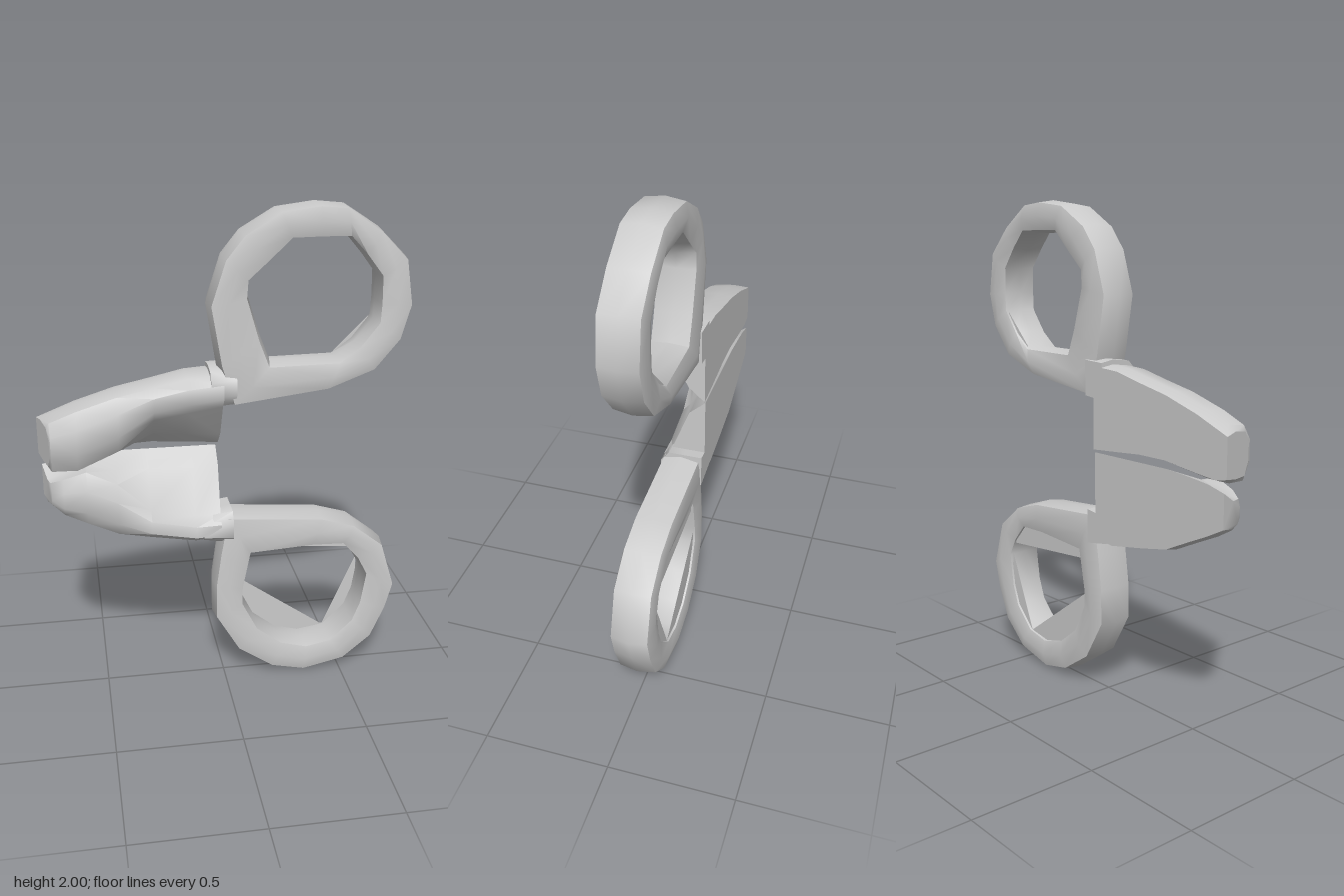
import * as THREE from 'three';
import { toCreasedNormals } from 'three/addons/utils/BufferGeometryUtils.js';

const D = 0.087; // half depth of the whole tool
const material = new THREE.MeshStandardMaterial({ color: 0xcccccc, side: THREE.DoubleSide });

// Skins a list of equal-length cross-sections; optionally joins last to first.
function loft(name, sections, closed, crease) {
  const n = sections[0].length, m = sections.length, index = [];
  for (let i = 0; i < (closed ? m : m - 1); i++) {
    for (let j = 0; j < n; j++) {
      const a = i * n + j, b = i * n + (j + 1) % n;
      const c = ((i + 1) % m) * n + j, d = ((i + 1) % m) * n + (j + 1) % n;
      index.push(a, b, c, b, d, c);
    }
  }
  if (!closed) {
    const e = (m - 1) * n;
    // cap triangles follow the cross-section outline
    const flat = s => s.map(p => new THREE.Vector2(p[2], p[1]));
    for (const [a, b, c] of THREE.ShapeUtils.triangulateShape(flat(sections[0]), [])) index.push(a, c, b);
    for (const [a, b, c] of THREE.ShapeUtils.triangulateShape(flat(sections[m - 1]), [])) index.push(e + a, e + b, e + c);
  }
  const g = new THREE.BufferGeometry();
  g.setAttribute('position', new THREE.Float32BufferAttribute(sections.flat(2), 3));
  g.setIndex(index);
  const mesh = new THREE.Mesh(toCreasedNormals(g, crease), material);
  mesh.name = name;
  return mesh;
}

// Finger ring: each station is [outerX, outerY, innerX, innerY].
function ring(name, stations) {
  const soft = v => Math.sign(v) * Math.sqrt(Math.abs(v));
  const sections = stations.map(([ox, oy, ix, iy]) => {
    const s = [];
    for (let k = 0; k < 8; k++) {
      const a = k * Math.PI / 4;
      const t = 0.5 + 0.5 * soft(Math.round(Math.cos(a) * 1e6) / 1e6);
      s.push([ix + (ox - ix) * t, iy + (oy - iy) * t, D * soft(Math.round(Math.sin(a) * 1e6) / 1e6)]);
    }
    return s;
  });
  return loft(name, sections, true, 1.0);
}

// Arm with blade: station is [x, top, armBottom, bladeEdge, front depth, x shift of the front].
function arm(name, stations, flip) {
  const sections = stations.map(([x, top, bottom, edge, front = D, shift = 0]) => {
    const h = top - bottom, y = v => (flip ? 2 - v : v);
    return [
      [-D, top - 0.01], [-0.03, top], [front * 0.6, top - 0.01], [front, top - h * 0.3],
      [front, top - h * 0.7], [front * 0.6, bottom], [-0.02, Math.min(bottom, edge + 0.06)], [-D, edge],
    ].map(([z, v]) => [x + shift * (z + D) / (2 * D), y(v), z]);
  });
  return loft(name, sections, false, 0.8);
}

// Flat webs in the corners of a ring opening.
function web(points) {
  const shape = new THREE.Shape(points.map(p => new THREE.Vector2(...p)));
  const mesh = new THREE.Mesh(new THREE.ShapeGeometry(shape), material);
  mesh.position.z = -0.065;
  mesh.name = 'ringWeb';
  return mesh;
}

export function createModel() {
  const group = new THREE.Group();
  group.name = 'scissors';

  // Upper half
  const upper = new THREE.Group();
  upper.name = 'upperHalf';
  upper.add(ring('upperRing', [
    [0.02, 1.23, 0.18, 1.40], [0.40, 1.28, 0.45, 1.40], [0.59, 1.35, 0.52, 1.46], [0.69, 1.47, 0.59, 1.55],
    [0.73, 1.61, 0.59, 1.62], [0.70, 1.79, 0.59, 1.72], [0.59, 1.90, 0.53, 1.80], [0.45, 1.99, 0.47, 1.87],
    [0.35, 2.00, 0.36, 1.87], [0.20, 1.98, 0.25, 1.87], [0.06, 1.90, 0.17, 1.79], [-0.01, 1.81, 0.09, 1.72],
    [-0.07, 1.63, 0.09, 1.66], [-0.03, 1.39, 0.14, 1.50],
  ]));
  upper.add(arm('upperArmAndBlade', [
    [-0.01, 1.37, 1.23, 1.03], [-0.15, 1.36, 1.21, 1.04], [-0.28, 1.33, 1.19, 1.05], [-0.42, 1.30, 1.07, 1.05],
    [-0.58, 1.25, 1.00, 1.03], [-0.68, 1.21, 1.00, 1.02, 0.08], [-0.73, 1.19, 1.02, 1.03, 0.07, 0.05],
  ], false));
  upper.add(arm('upperNeck', [[0.04, 1.39, 1.24, 1.24], [-0.06, 1.385, 1.23, 1.23]], false));
  upper.add(web([[0.59, 1.54], [0.45, 1.40], [0.60, 1.42]]));
  group.add(upper);

  // Lower half
  const lower = new THREE.Group();
  lower.name = 'lowerHalf';
  lower.add(ring('lowerRing', [
    [0.0, 0.77, 0.11, 0.58], [0.40, 0.735, 0.36, 0.60], [0.54, 0.69, 0.49, 0.60], [0.67, 0.59, 0.55, 0.53],
    [0.73, 0.39, 0.59, 0.46], [0.70, 0.28, 0.57, 0.32], [0.64, 0.14, 0.54, 0.24], [0.52, 0.04, 0.45, 0.15],
    [0.34, 0.00, 0.35, 0.13], [0.20, 0.03, 0.24, 0.16], [0.05, 0.13, 0.14, 0.24], [-0.05, 0.30, 0.08, 0.36],
    [-0.05, 0.45, 0.08, 0.43], [-0.03, 0.60, 0.10, 0.53],
  ]));
  lower.add(arm('lowerArmAndBlade', [
    [-0.02, 1.34, 1.23, 0.98], [-0.12, 1.35, 1.23, 0.98], [-0.30, 1.32, 1.19, 0.98], [-0.43, 1.295, 1.07, 0.98],
    [-0.55, 1.24, 1.01, 0.99], [-0.64, 1.20, 1.04, 1.00, 0.07], [-0.72, 1.16, 1.06, 1.02, 0.03, 0.05],
  ], true));
  lower.add(arm('lowerNeck', [[0.03, 1.37, 1.22, 1.22], [-0.09, 1.35, 1.235, 1.235]], true));
  lower.add(web([[0.07, 0.41], [0.08, 0.26], [0.25, 0.11], [0.45, 0.14]]));
  lower.add(web([[0.59, 0.47], [0.45, 0.14], [0.60, 0.24]]));
  lower.add(web([[0.10, 0.555], [0.58, 0.515], [0.50, 0.63], [0.10, 0.62]]));
  group.add(lower);

  return group;
}
